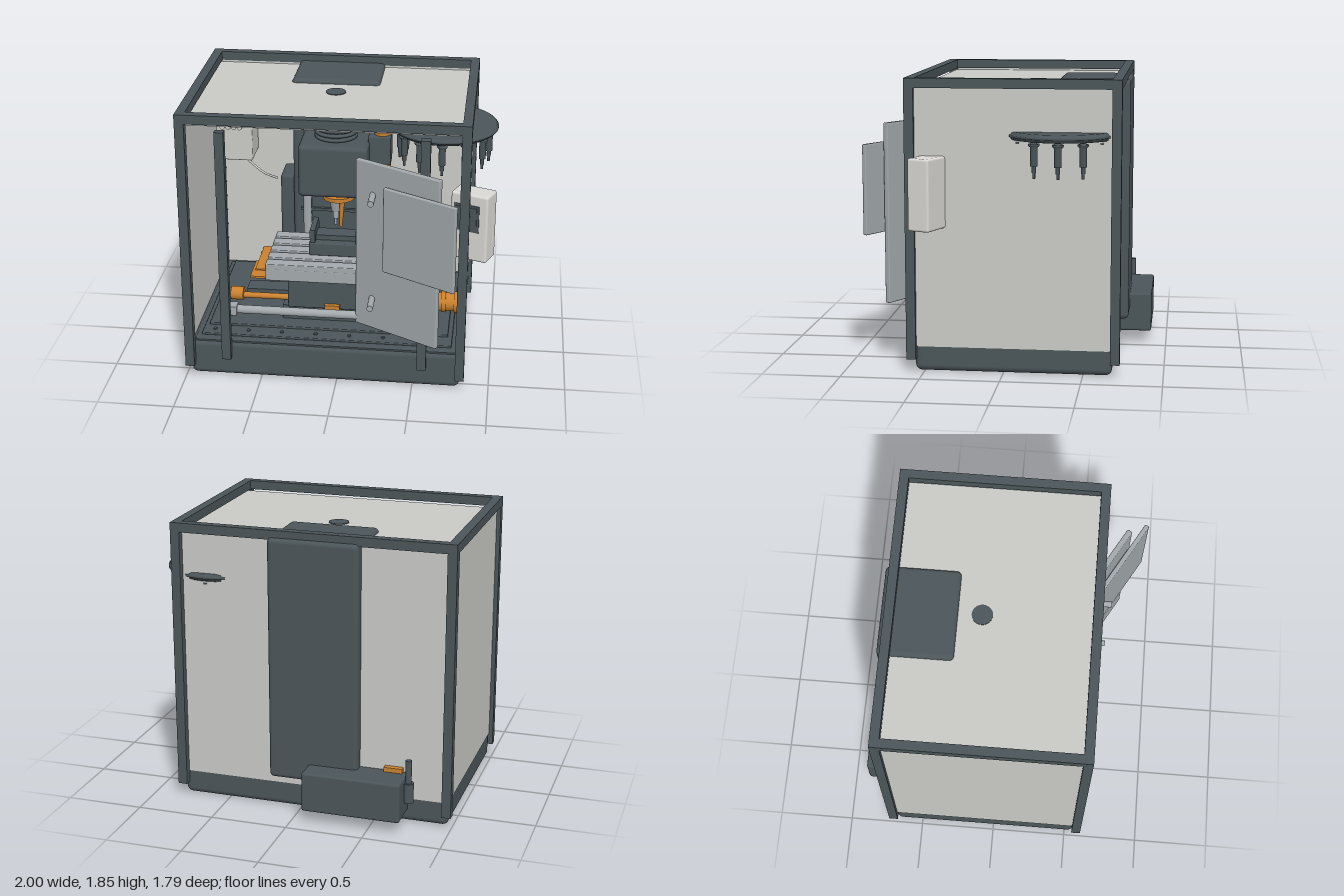
import * as THREE from 'three';
import { RoundedBoxGeometry } from 'three/addons/geometries/RoundedBoxGeometry.js';

const material = (name, color) => {
  const m = new THREE.MeshStandardMaterial({ color });
  m.name = name;
  return m;
};

export function createModel() {
  const model = new THREE.Group();
  model.name = 'machiningCentre';
  const dark = material('dark slate', 0x4b5559);
  const wall = material('wall grey', 0xc9c9c6);
  const steel = material('steel grey', 0xa2a8ab);
  const pale = material('pale grey', 0xd9d8d4);
  const orange = material('orange', 0xc9812f);

  const add = (name, geometry, mat, parent = model) => {
    const mesh = new THREE.Mesh(geometry, mat);
    mesh.name = name;
    parent.add(mesh);
    return mesh;
  };
  // box from its limits, with optional rounded edges
  const box = (name, mat, [x0, x1], [y0, y1], [z0, z1], r = 0, parent = model) => {
    const s = [x1 - x0, y1 - y0, z1 - z0];
    const g = r ? new RoundedBoxGeometry(...s, 3, r) : new THREE.BoxGeometry(...s);
    const mesh = add(name, g, mat, parent);
    mesh.position.set((x0 + x1) / 2, (y0 + y1) / 2, (z0 + z1) / 2);
    return mesh;
  };
  // cylinder between two points
  const rod = (name, mat, r, from, to, r2 = r, parent = model) => {
    const a = new THREE.Vector3(...from), b = new THREE.Vector3(...to);
    const d = b.clone().sub(a);
    const mesh = add(name, new THREE.CylinderGeometry(r2, r, d.length(), 28), mat, parent);
    mesh.position.copy(a).add(b).multiplyScalar(0.5);
    mesh.quaternion.setFromUnitVectors(new THREE.Vector3(0, 1, 0), d.normalize());
    return mesh;
  };

  // base tray and its stepped rim
  box('base', dark, [-0.97, 0.81], [0, 0.25], [-0.68, 0.56], 0.04);
  box('baseDeck', dark, [-0.94, 0.78], [0.2, 0.252], [-0.66, 0.545]);
  box('lowerRim', dark, [-0.91, 0.75], [0.25, 0.266], [-0.62, 0.48], 0.006);
  box('upperRim', dark, [-0.88, 0.72], [0.26, 0.28], [-0.6, 0.36], 0.006);
  for (let i = 0; i < 7; i++) {
    const x = -0.83 + i * 0.225;
    rod('rimScrew', dark, 0.012, [x, 0.26, 0.42], [x, 0.275, 0.42]);
  }

  // enclosure frame
  for (const x of [-1, 0.78]) {
    for (const z of [-0.73, 0.55]) box('framePost', dark, [x, x + 0.06], [0.08, 1.85], [z, z + 0.06]);
    box('topSideRail', dark, [x, x + 0.06], [1.79, 1.85], [-0.67, 0.55]);
  }
  for (const z of [-0.73, 0.55]) box('topCrossRail', dark, [-0.94, 0.78], [1.79, 1.85], [z, z + 0.06]);
  for (const x of [-0.755, 0.53]) box('doorPost', dark, [x, x + 0.06], [0.14, 1.74], [0.55, 0.6]);

  // wall and roof panels
  box('leftPanel', wall, [0.802, 0.813], [0.16, 1.79], [-0.68, 0.56]);
  box('rightPanel', wall, [-0.973, -0.962], [0.16, 1.79], [-0.68, 0.56]);
  box('backPanel', wall, [-0.97, 0.81], [0.16, 1.79], [-0.683, -0.672]);
  box('roofPanel', wall, [-0.97, 0.81], [1.765, 1.777], [-0.68, 0.56]);

  // column with guide rails
  box('column', dark, [-0.395, 0.195], [0.22, 1.805], [-0.755, -0.28], 0.03);
  box('columnFoot', dark, [-0.49, 0.29], [0.48, 1.09], [-0.55, -0.32], 0.02);
  for (const x of [-0.29, 0.09]) {
    box('guideRail', steel, [x - 0.025, x + 0.025], [0.5, 1.54], [-0.285, -0.25]);
    rod('guideRod', steel, 0.028, [x, 0.6, -0.22], [x, 1.05, -0.22]);
    box('guideBlock', steel, [x - 0.035, x + 0.035], [1.04, 1.1], [-0.26, -0.18]);
  }
  for (const y of [0.86, 1.01]) box('columnRib', dark, [-0.34, 0.14], [y, y + 0.02], [-0.29, -0.26]);

  // spindle head with finned motor
  box('spindleHead', dark, [-0.31, 0.15], [1.11, 1.47], [-0.28, 0.09], 0.03);
  box('headSidePlate', dark, [-0.335, -0.31], [1.1, 1.38], [-0.28, -0.12]);
  const fins = [[0, 1.46]];
  for (let i = 0; i < 9; i++) {
    const y = 1.47 + i * 0.03;
    fins.push([0.125, y], [0.143, y + 0.005], [0.143, y + 0.018], [0.125, y + 0.023]);
  }
  fins.push([0, 1.735]);
  const lathe = (pts, n = 40) => new THREE.LatheGeometry(pts.map(p => new THREE.Vector2(...p)), n);
  add('finnedMotor', lathe(fins), dark).position.set(-0.08, 0, -0.13);
  rod('motorCap', dark, 0.066, [-0.08, 1.73, -0.13], [-0.08, 1.782, -0.13]);
  rod('headMotor', orange, 0.056, [0.23, 1.1, -0.13], [0.23, 1.665, -0.13]);
  rod('headMotorCap', orange, 0.068, [0.23, 1.66, -0.13], [0.23, 1.695, -0.13]);
  box('headMotorBracket', dark, [0.14, 0.29], [1.3, 1.5], [-0.2, -0.06], 0.01);

  // spindle nose, cutter and coolant nozzle
  rod('noseRing', orange, 0.108, [-0.06, 1.04, -0.1], [-0.06, 1.068, -0.1]);
  rod('noseShaft', orange, 0.014, [-0.06, 1.06, -0.1], [-0.06, 1.115, -0.1]);
  rod('toolHolder', steel, 0.028, [-0.08, 0.94, -0.1], [-0.08, 1.045, -0.1], 0.05);
  rod('collet', steel, 0.02, [-0.08, 0.89, -0.1], [-0.08, 0.94, -0.1]);
  rod('cutter', steel, 0.009, [-0.08, 0.84, -0.1], [-0.08, 0.9, -0.1]);
  rod('coolantNozzle', orange, 0.01, [-0.04, 0.85, -0.05], [-0.03, 1.05, -0.05], 0.018);

  // slotted work table on its saddle
  box('table', steel, [-0.5, 0.34], [0.6, 0.69], [-0.2, 0.33], 0.01);
  for (let i = 0; i < 5; i++) {
    const z = -0.2 + i * 0.111;
    box('tableRib', steel, [-0.5, 0.34], [0.68, 0.72], [z, z + 0.086], 0.006);
  }
  box('saddle', dark, [-0.36, 0.2], [0.38, 0.61], [-0.25, 0.27], 0.01);
  box('saddleBed', dark, [-0.4, 0.2], [0.27, 0.38], [-0.3, 0.24]);

  // vise
  box('viseBody', dark, [-0.23, 0.12], [0.72, 0.81], [-0.08, 0.16], 0.008);
  for (const x of [-0.225, 0.08]) box('viseJaw', dark, [x, x + 0.035], [0.8, 0.9], [-0.07, 0.15]);
  box('workpiece', dark, [-0.19, 0.08], [0.8, 0.845], [-0.02, 0.1]);

  // cross drive: beam, screw and end motors
  box('crossBeam', dark, [-0.67, 0.53], [0.365, 0.407], [-0.05, 0.08]);
  rod('driveScrew', orange, 0.02, [-0.7, 0.395, 0.15], [0.6, 0.395, 0.15]);
  box('screwNut', orange, [-0.11, -0.01], [0.37, 0.42], [0.24, 0.3]);
  rod('driveMotor', orange, 0.062, [0.55, 0.395, 0.1], [0.75, 0.395, 0.1]);
  for (const x of [0.66, 0.745]) rod('motorFlange', orange, 0.072, [x, 0.395, 0.1], [x + 0.03, 0.395, 0.1]);
  rod('screwCap', orange, 0.045, [-0.765, 0.405, 0.15], [-0.68, 0.405, 0.15]);
  rod('frontRail', steel, 0.028, [-0.69, 0.442, 0.45], [0.57, 0.442, 0.45]);
  for (const x of [-0.7, 0.58]) box('railMount', steel, [x - 0.032, x + 0.032], [0.41, 0.475], [0.41, 0.49], 0.005);

  // half-open door
  const door = new THREE.Group();
  door.name = 'door';
  door.position.set(0.395, 0, 0.607);
  door.rotation.y = -0.515;
  model.add(door);
  box('doorPanel', steel, [-0.312, 0.312], [0.4, 1.555], [-0.018, 0.018], 0.008, door);
  box('doorWindowPlate', steel, [-0.07, 0.46], [0.855, 1.43], [0.036, 0.066], 0.008, door);
  box('windowSpacer', steel, [0, 0.28], [0.95, 1.33], [0.01, 0.04], 0, door);
  for (const y of [0.615, 1.34]) rod('doorPeg', steel, 0.02, [0.23, y, 0.5], [0.23, y, 0.68]);

  // control console, turned towards the operator
  const console_ = new THREE.Group();
  console_.name = 'controlConsole';
  console_.position.set(0.86, 0, 0.458);
  console_.rotation.y = -0.37;
  model.add(console_);
  box('consoleBody', pale, [-0.125, 0.125], [0.92, 1.37], [-0.075, 0.075], 0.015, console_);
  box('screenBezel', dark, [-0.1, 0.07], [1.12, 1.3], [0.07, 0.08], 0, console_);
  box('screen', dark, [-0.085, 0.055], [1.135, 1.285], [0.078, 0.084], 0, console_);

  // round tool magazine with hanging tools
  const magazine = new THREE.Group();
  magazine.name = 'toolMagazine';
  magazine.position.set(0.63, 0, -0.35);
  model.add(magazine);
  add('magazineDisc', lathe([[0, 1.475], [0.34, 1.475], [0.35, 1.482], [0.35, 1.49], [0.36, 1.493],
    [0.36, 1.507], [0.35, 1.51], [0.35, 1.518], [0.34, 1.525], [0, 1.525]], 56), dark, magazine);
  rod('magazineHub', dark, 0.04, [0, 1.52, 0], [0, 1.61, 0], 0.04, magazine);
  for (let i = 0; i < 12; i++) {
    const a = i * Math.PI / 6;
    const tool = add('storedTool', lathe([[0, 1.25], [0.009, 1.25], [0.009, 1.285], [0.014, 1.285], [0.014, 1.325],
      [0.023, 1.325], [0.023, 1.44], [0.035, 1.452], [0.035, 1.462], [0.02, 1.462], [0.02, 1.48]], 18), dark, magazine);
    tool.position.set(0.3 * Math.cos(a), 0, 0.3 * Math.sin(a));
  }

  // inside cabinet with knobs and cable
  box('insideCabinet', wall, [-0.95, -0.7], [1.145, 1.45], [-0.67, -0.42], 0.01);
  for (let i = 0; i < 4; i++) {
    const x = -0.905 + i * 0.04;
    rod('cabinetKnob', wall, 0.017, [x, 1.39, -0.43], [x, 1.39, -0.405]);
  }
  const cable = new THREE.CatmullRomCurve3([[-0.74, 1.15, -0.44], [-0.69, 1.115, -0.42], [-0.61, 1.075, -0.38],
    [-0.51, 1.058, -0.34]].map(p => new THREE.Vector3(...p)));
  add('cable', new THREE.TubeGeometry(cable, 20, 0.008, 8), wall);

  // rear coolant tank with pump
  box('coolantTank', dark, [-0.71, -0.07], [0.08, 0.34], [-0.9, -0.67], 0.015);
  rod('pumpBody', dark, 0.034, [-0.73, 0.17, -0.75], [-0.73, 0.3, -0.75]);
  rod('pumpPipe', dark, 0.02, [-0.73, 0.29, -0.75], [-0.73, 0.45, -0.75]);
  box('chipChute', orange, [-0.68, -0.56], [0.34, 0.37], [-0.72, -0.3]);
  box('chuteLip', orange, [-0.7, -0.4], [0.345, 0.36], [-0.45, -0.2]);
  return model;
}
